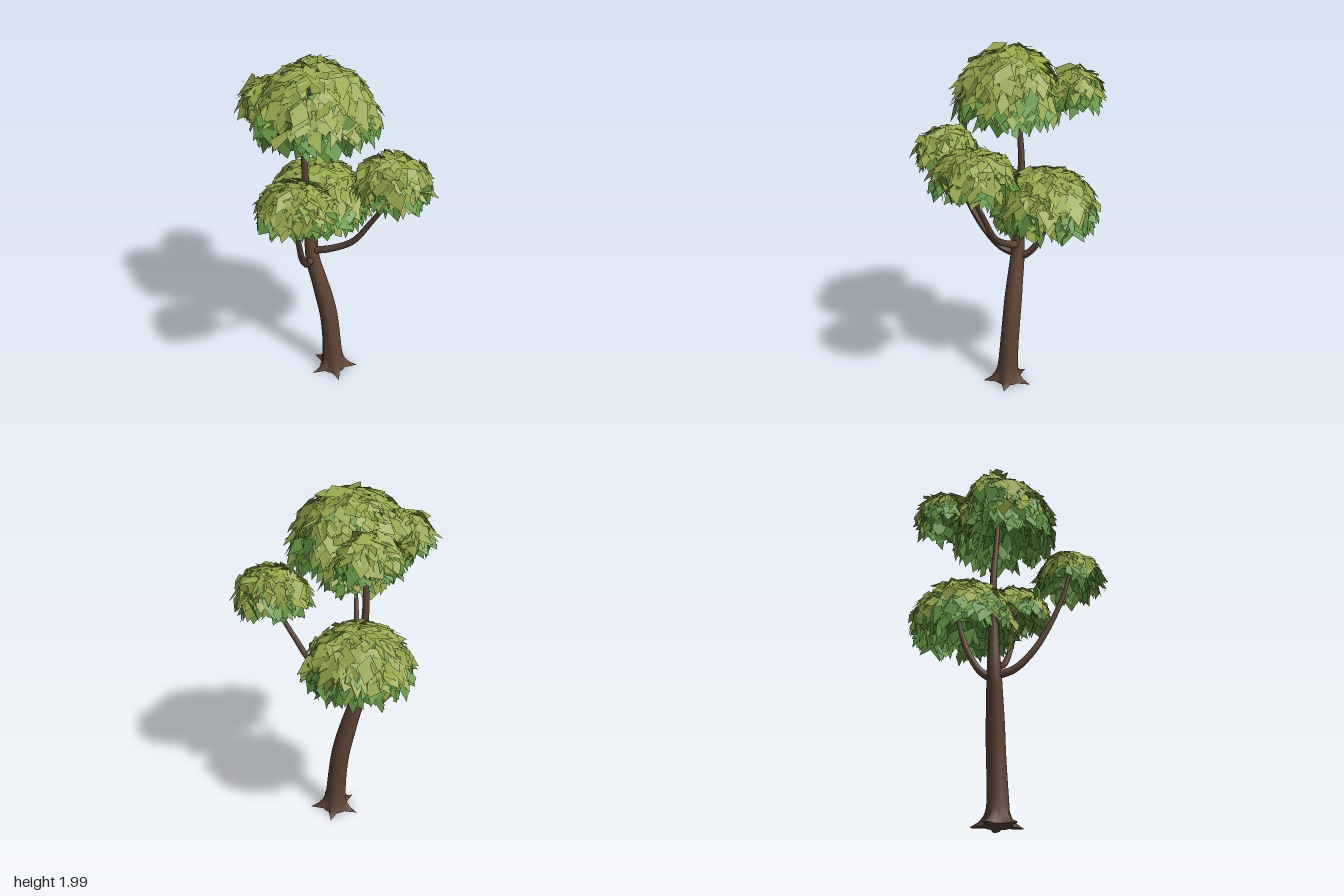
import * as THREE from 'three';

const V = (x, y, z) => new THREE.Vector3(x, y, z);

function seeded(seed) {
  return () => {
    seed = (seed * 1664525 + 1013904223) % 4294967296;
    return seed / 4294967296;
  };
}

// Root flare: multiplies the trunk radius near the ground, strongest along five roots
const flare = (y, a) => 1 + Math.exp(-y / 0.035) * (0.3 + 1.15 * Math.max(0, Math.cos(5 * a)) ** 1.5);

// Tapered limb swept along a smooth path; radii are evenly spaced along its length
function limb(points, radii, segments, sides, shape = () => 1) {
  const curve = new THREE.CatmullRomCurve3(points.map((p) => V(...p)));
  const geo = new THREE.TubeGeometry(curve, segments, 1, sides, false);
  const pos = geo.attributes.position;
  const v = V(0, 0, 0);
  for (let i = 0; i <= segments; i++) {
    const c = curve.getPointAt(i / segments);
    const f = (i / segments) * (radii.length - 1);
    const k = Math.min(Math.floor(f), radii.length - 2);
    const r = THREE.MathUtils.lerp(radii[k], radii[k + 1], f - k);
    for (let j = 0; j <= sides; j++) {
      const n = i * (sides + 1) + j;
      v.fromBufferAttribute(pos, n).sub(c);
      v.multiplyScalar(r * shape(c.y, Math.atan2(v.z, v.x))).add(c);
      pos.setXYZ(n, v.x, Math.max(0, v.y), v.z);
    }
  }
  geo.computeVertexNormals();
  return geo;
}

// Ragged dome of overlapping pointed leaves hanging outward and down
function canopy(name, [cx, cy, cz], [rx, ry, rz], seed, mats) {
  const rand = seeded(seed);
  const spread = (s) => (rand() - 0.5) * 2 * s;
  const positions = [[], []];

  const addLeaf = (h, a, scale, inner) => {
    const q = Math.sqrt(1 - h * h);
    const p = V(cx + Math.cos(a) * q * rx * scale, cy + h * ry * scale, cz + Math.sin(a) * q * rz * scale);
    const n = V(Math.cos(a) * q / rx, h / ry, Math.sin(a) * q / rz).normalize();
    const down = V(Math.cos(a) * h, -q, Math.sin(a) * h).normalize();
    const side = V(0, 0, 0).crossVectors(down, n).normalize();
    // Leaves near the rim splay outward more than those on the crown
    const splay = h < 0.45 ? 0.25 + spread(0.45) : 0.08 + spread(0.25);
    const dir = down.clone().addScaledVector(n, splay).addScaledVector(side, spread(0.6)).normalize();
    const across = side.clone().addScaledVector(n, spread(0.5)).addScaledVector(dir, -side.dot(dir)).normalize();
    const len = 0.095 + rand() * 0.065;
    const w = 0.03 + rand() * 0.022;
    const at = (l, s) => p.clone().addScaledVector(dir, l * len).addScaledVector(across, s * w);
    const base = at(-0.4, spread(0.5));
    const tip = at(0.6, spread(0.5));
    const left = at(spread(0.3), -1);
    const right = at(spread(0.3), 1);
    const green = inner || h + spread(0.25) < 0.16;
    for (const c of [base, left, tip, base, tip, right]) positions[green ? 1 : 0].push(c.x, c.y, c.z);
  };

  // Evenly spiralled outer leaves, then loose leaves filling the inside
  const count = Math.round(4900 * rx * rz);
  for (let i = 0; i < count; i++) {
    addLeaf(0.995 - 1.12 * (i + rand()) / count, i * 2.39996 + spread(0.3), 0.97 + spread(0.06), false);
  }
  for (let i = 0; i < count * 0.7; i++) {
    addLeaf(rand() * 0.95 - 0.1, rand() * Math.PI * 2, 0.92 - 0.5 * rand() ** 1.5, true);
  }

  const group = new THREE.Group();
  group.name = name;
  positions.forEach((list, i) => {
    const geo = new THREE.BufferGeometry();
    geo.setAttribute('position', new THREE.Float32BufferAttribute(list, 3));
    geo.computeVertexNormals();
    const mesh = new THREE.Mesh(geo, mats[i]);
    mesh.name = i ? 'lowerLeaves' : 'upperLeaves';
    group.add(mesh);
  });
  return group;
}

export function createModel() {
  const tree = new THREE.Group();
  tree.name = 'tree';
  const bark = new THREE.MeshStandardMaterial({ color: 0x5e4435 });
  bark.name = 'bark';
  const olive = new THREE.MeshStandardMaterial({ color: 0x96a74a, side: THREE.DoubleSide });
  olive.name = 'oliveLeaf';
  const green = new THREE.MeshStandardMaterial({ color: 0x659844, side: THREE.DoubleSide });
  green.name = 'greenLeaf';

  const add = (name, geo) => {
    const mesh = new THREE.Mesh(geo, bark);
    mesh.name = name;
    tree.add(mesh);
  };

  // Leaning trunk with flared roots
  add('trunk', limb(
    [[-0.005, 0, -0.035], [-0.01, 0.1, -0.035], [-0.016, 0.22, -0.04], [-0.035, 0.4, -0.05], [-0.08, 0.6, -0.06],
      [-0.125, 0.78, -0.07], [-0.14, 1.0, -0.075], [-0.16, 1.35, -0.08], [-0.155, 1.55, -0.065], [-0.14, 1.8, -0.05]],
    [0.06, 0.054, 0.051, 0.041, 0.027, 0.02, 0.015, 0.01], 72, 20, flare));

  // Underside of the roots
  const cap = new THREE.CircleGeometry(1, 40);
  cap.rotateX(Math.PI / 2);
  const cp = cap.attributes.position;
  for (let i = 1; i < cp.count; i++) {
    const a = Math.atan2(cp.getZ(i), cp.getX(i));
    const r = 0.06 * flare(0, a);
    cp.setXYZ(i, Math.cos(a) * r, 0, Math.sin(a) * r);
  }
  cap.translate(-0.005, 0, -0.035);
  add('rootBase', cap);

  // Branches, one to each lower canopy
  const branchRadii = [0.023, 0.019, 0.016, 0.013, 0.009];
  add('leftBranch', limb(
    [[-0.13, 0.83, -0.07], [-0.03, 0.87, -0.03], [0.11, 0.96, 0.02], [0.2, 1.1, 0.06], [0.31, 1.31, 0.11], [0.34, 1.44, 0.12]],
    branchRadii, 18, 7));
  add('frontBranch', limb(
    [[-0.13, 0.77, -0.06], [-0.145, 0.8, 0.03], [-0.16, 0.9, 0.13], [-0.165, 1.05, 0.22], [-0.17, 1.26, 0.31], [-0.17, 1.42, 0.35]],
    branchRadii, 18, 7));
  add('backBranch', limb(
    [[-0.12, 0.75, -0.07], [-0.12, 0.79, -0.14], [-0.12, 0.88, -0.2], [-0.115, 1.02, -0.25], [-0.11, 1.2, -0.28]],
    branchRadii, 18, 7));

  // Leaf canopies: name, centre, radii
  const canopies = [
    ['topCanopy', [-0.09, 1.665, -0.02], [0.315, 0.3, 0.275]],
    ['topCanopyRightLobe', [-0.36, 1.72, -0.1], [0.12, 0.13, 0.13]],
    ['topCanopyBackLobe', [-0.12, 1.72, -0.37], [0.15, 0.14, 0.13]],
    ['backCanopy', [-0.1, 1.06, -0.23], [0.275, 0.235, 0.28]],
    ['leftCanopy', [0.32, 1.365, 0.09], [0.19, 0.15, 0.2]],
    ['frontCanopy', [-0.17, 1.345, 0.34], [0.18, 0.14, 0.165]],
  ];
  canopies.forEach(([name, centre, radii], i) => tree.add(canopy(name, centre, radii, 101 + i * 977, [olive, green])));
  return tree;
}
